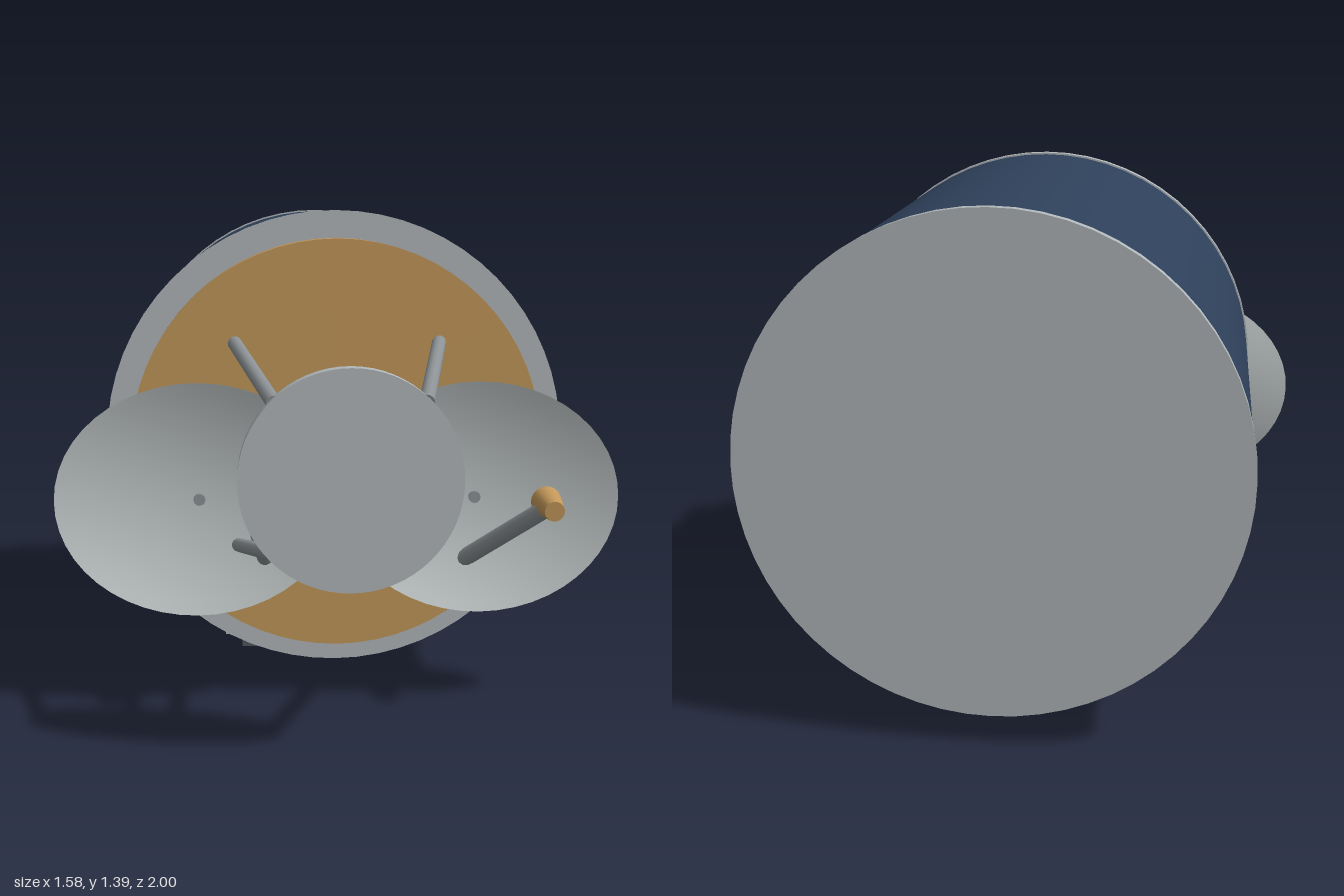
import * as THREE from 'three';

const paint = (name, color) => {
  const m = new THREE.MeshStandardMaterial({ color });
  m.name = name;
  return m;
};

export function createModel() {
  const grey = paint('light grey', 0xb1b7ba);
  const dishGrey = paint('dish grey', 0xb8bebf);
  dishGrey.side = THREE.DoubleSide;
  const navy = paint('navy', 0x2e405a);
  const gold = paint('gold foil', 0xc2975a);
  const metal = paint('strut metal', 0x8c9295);
  const dark = paint('dark grey', 0x50565b);

  const model = new THREE.Group();
  model.name = 'satellite';
  const axisY = 0.735;

  const add = (name, geometry, material, x = 0, y = 0, z = 0) => {
    const mesh = new THREE.Mesh(geometry, material);
    mesh.name = name;
    mesh.position.set(x, y, z);
    model.add(mesh);
    return mesh;
  };

  // Disc or drum lying along z between two depths
  const drum = (name, radius, z0, z1, material, y = axisY) =>
    add(name, new THREE.CylinderGeometry(radius, radius, z1 - z0, 64).rotateX(Math.PI / 2),
      material, 0, y, (z0 + z1) / 2);

  // Round rod, optionally tapered, from point a to point b
  const rod = (name, a, b, ra, rb, material, sides = 12) => {
    const start = new THREE.Vector3(...a);
    const dir = new THREE.Vector3(...b).sub(start);
    const mesh = add(name, new THREE.CylinderGeometry(rb, ra, dir.length(), sides), material);
    mesh.position.copy(start).addScaledVector(dir, 0.5);
    mesh.quaternion.setFromUnitVectors(new THREE.Vector3(0, 1, 0), dir.normalize());
    return mesh;
  };

  // Main body with end flanges and the foil covered front deck
  drum('body', 0.65, -0.97, 0.29, navy);
  drum('rearFlange', 0.655, -1, -0.97, grey);
  drum('frontFlange', 0.655, 0.285, 0.315, grey);
  drum('frontDeck', 0.58, 0.315, 0.41, gold, 0.732);

  // Front plate on four converging struts
  drum('frontPlate', 0.28, 0.95, 1, grey, 0.732);
  for (const sx of [-1, 1]) {
    for (const sy of [-1, 1]) {
      rod('plateStrut', [sx * 0.29, 0.735 + sy * 0.29, 0.39],
        [sx * 0.188, 0.735 + sy * 0.188, 0.965], 0.02, 0.02, metal);
    }
  }

  // Shallow oval dishes, tipped slightly upward
  const profile = [];
  for (let i = 0; i <= 12; i++) {
    const t = i / 12;
    profile.push(new THREE.Vector2(0.395 * t, 0.062 * t * t));
  }
  const dishGeometry = new THREE.LatheGeometry(profile, 48)
    .rotateX(Math.PI / 2)
    .scale(1, 0.325 / 0.395, 1);
  for (const side of [-1, 1]) {
    const dish = add('dish', dishGeometry, dishGrey, side * 0.395, 0.588, 0.424);
    dish.rotation.x = -0.075;
    rod('dishPost', [side * 0.39, 0.583, 0.39], [side * 0.39, 0.583, 0.435], 0.017, 0.017, metal);
  }

  // Feed horns on slanted arms
  for (const [armX, hornX] of [[0.32, 0.56], [-0.195, -0.23]]) {
    rod('feedArm', [armX, 0.37, 0.4], [hornX - 0.01, 0.59, 0.65], 0.025, 0.025, metal);
    rod('feedHorn', [hornX, 0.603, 0.61], [hornX, 0.598, 0.73], 0.042, 0.027, gold, 20);
  }

  // Mounting block and foot under the body
  add('mountBlock', new THREE.BoxGeometry(0.655, 0.11, 0.405), grey, 0, 0.105, -0.27);
  add('mountFoot', new THREE.BoxGeometry(0.55, 0.05, 0.345), dark, 0, 0.025, -0.27);

  return model;
}
